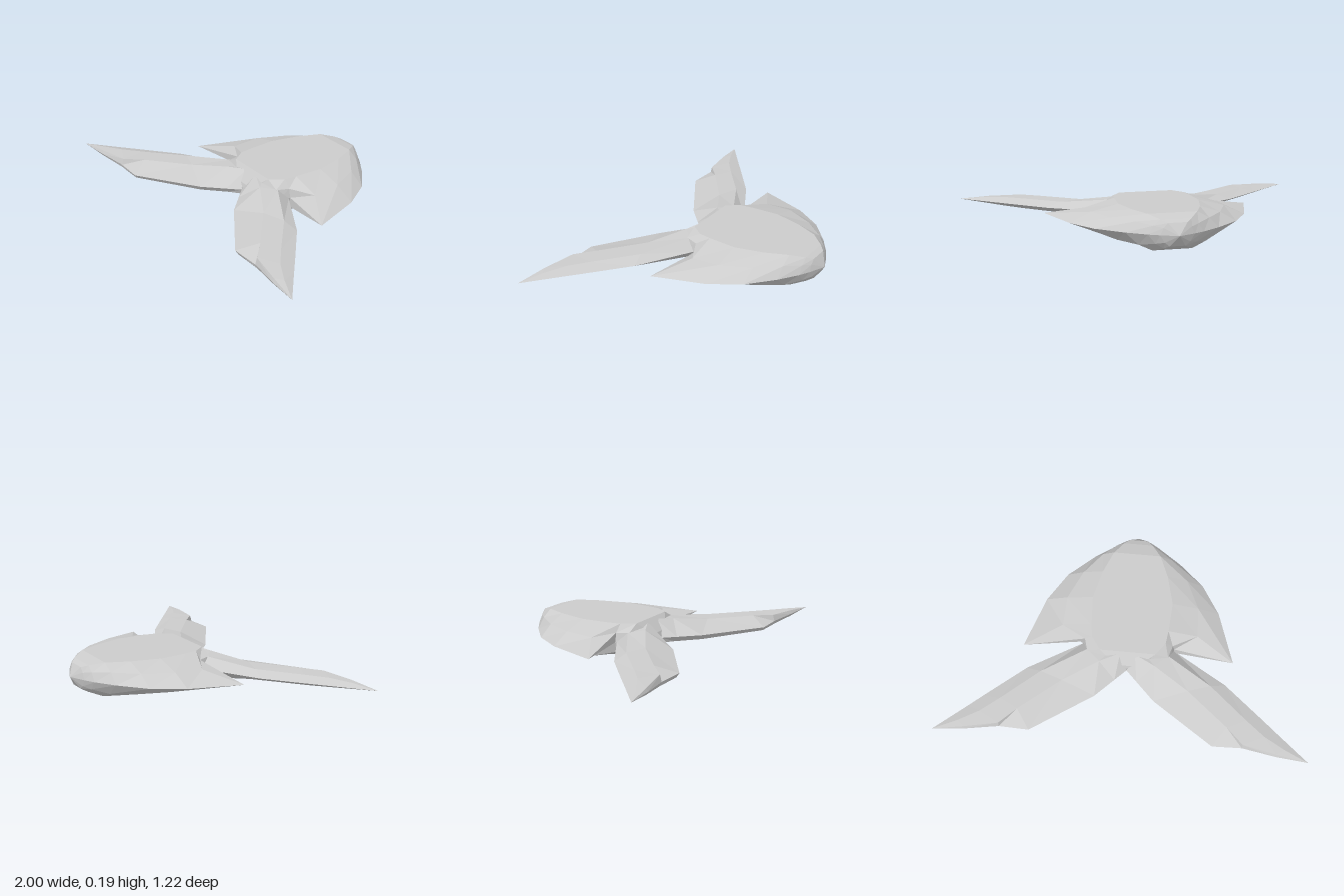
import * as THREE from 'three';

const material = new THREE.MeshStandardMaterial({ color: 0xcccccc, flatShading: true });

// Skins a list of closed point loops; triangles are turned to face outwards.
function loft(name, rows) {
  const tris = [];
  const n = rows[0].length;
  for (let r = 0; r < rows.length - 1; r++) {
    for (let i = 0; i < n; i++) {
      const j = (i + 1) % n;
      const [a, b, c, d] = [rows[r][i], rows[r][j], rows[r + 1][j], rows[r + 1][i]];
      tris.push([a, b, c], [a, c, d]);
    }
  }
  const v = (p) => new THREE.Vector3(...p);
  const volume = tris.reduce((s, [a, b, c]) => s + v(a).dot(v(b).cross(v(c))), 0);
  const solid = tris.filter(([a, b, c]) =>
    v(b).sub(v(a)).cross(v(c).sub(v(a))).length() > 1e-7);
  const points = solid.flatMap(([a, b, c]) => (volume < 0 ? [a, c, b] : [a, b, c]));
  const geometry = new THREE.BufferGeometry();
  geometry.setAttribute('position', new THREE.Float32BufferAttribute(points.flat(), 3));
  geometry.computeVertexNormals();
  const mesh = new THREE.Mesh(geometry, material);
  mesh.name = name;
  return mesh;
}

const mirror = ([x, y, z]) => [-x, y, z];
const fullLoop = (half) => [...half, ...half.map(mirror).reverse()];

// Half section of the hull: top edge, upper flank, rim, lower flank, keel edge.
function hullSection(z, rim, top, yTop, yLow) {
  return [
    [top, yTop, z],
    [top + (rim - top) * 0.55, 0.105 + (yTop - 0.105) * 0.6, z],
    [rim, 0.105, z],
    [top + (rim - top) * 0.4, 0.105 - (0.105 - yLow) * 0.66, z],
    [top * 0.8, yLow, z],
  ];
}

function createHull() {
  const halves = [
    hullSection(-0.61, 0, 0, 0.105, 0.105),
    hullSection(-0.57, 0.09, 0.05, 0.165, 0.045),
    hullSection(-0.54, 0.145, 0.08, 0.178, 0.03),
    hullSection(-0.47, 0.245, 0.13, 0.195, 0.004),
    hullSection(-0.35, 0.38, 0.18, 0.195, 0.007),
    hullSection(-0.19, 0.48, 0.22, 0.195, 0.01),
    // swept side tips
    [[0.21, 0.195, -0.03], [0.37, 0.15, -0.03], [0.575, 0.105, 0.09],
      [0.37, 0.05, -0.03], [0.18, 0.013, -0.03]],
    // notch between side tips and wings
    [[0.2, 0.195, 0.04], [0.24, 0.155, 0.04], [0.25, 0.105, 0.04],
      [0.24, 0.05, 0.04], [0.17, 0.015, 0.04]],
    [[0.15, 0.195, 0.11], [0.22, 0.16, 0.11], [0.235, 0.105, 0.11],
      [0.22, 0.05, 0.11], [0.16, 0.015, 0.11]],
    // sloped end between the wing roots
    [[0.06, 0.125, 0.165], [0.07, 0.11, 0.165], [0.08, 0.09, 0.165],
      [0.07, 0.065, 0.165], [0.05, 0.055, 0.165]],
    hullSection(0.175, 0, 0, 0.09, 0.09),
  ];
  return loft('hull', halves.map(fullLoop));
}

// Wing loops: leading edge, front shoulder, ridge, trailing edge, lower back, lower front.
function createWing(name, side) {
  const rows = [
    Array(6).fill([0, 0.105, 0.1]),
    [[0.06, 0.105, 0.02], [0.05, 0.17, 0.06], [0.04, 0.18, 0.115],
      [0, 0.09, 0.18], [0, 0.06, 0.165], [0.05, 0.03, 0.08]],
    [[0.25, 0.105, 0.05], [0.22, 0.16, 0.1], [0.15, 0.165, 0.165],
      [0.06, 0.09, 0.24], [0.07, 0.06, 0.22], [0.2, 0.035, 0.11]],
    [[0.54, 0.105, 0.22], [0.46, 0.132, 0.24], [0.34, 0.134, 0.28],
      [0.16, 0.09, 0.34], [0.18, 0.062, 0.33], [0.4, 0.058, 0.25]],
    [[0.75, 0.105, 0.395], [0.66, 0.128, 0.41], [0.56, 0.13, 0.46],
      [0.49, 0.09, 0.56], [0.5, 0.07, 0.55], [0.66, 0.068, 0.43]],
    [[0.83, 0.105, 0.463], [0.76, 0.126, 0.49], [0.65, 0.125, 0.545],
      [0.65, 0.09, 0.555], [0.66, 0.071, 0.55], [0.75, 0.074, 0.49]],
    [[0.91, 0.105, 0.53], [0.87, 0.119, 0.55], [0.83, 0.119, 0.58],
      [0.83, 0.1, 0.588], [0.83, 0.086, 0.58], [0.87, 0.088, 0.55]],
    Array(6).fill([1, 0.105, 0.605]),
  ];
  return loft(name, side > 0 ? rows : rows.map((row) => row.map(mirror)));
}

export function createModel() {
  const model = new THREE.Group();
  model.name = 'glider';
  model.add(createHull(), createWing('leftWing', 1), createWing('rightWing', -1));
  return model;
}
